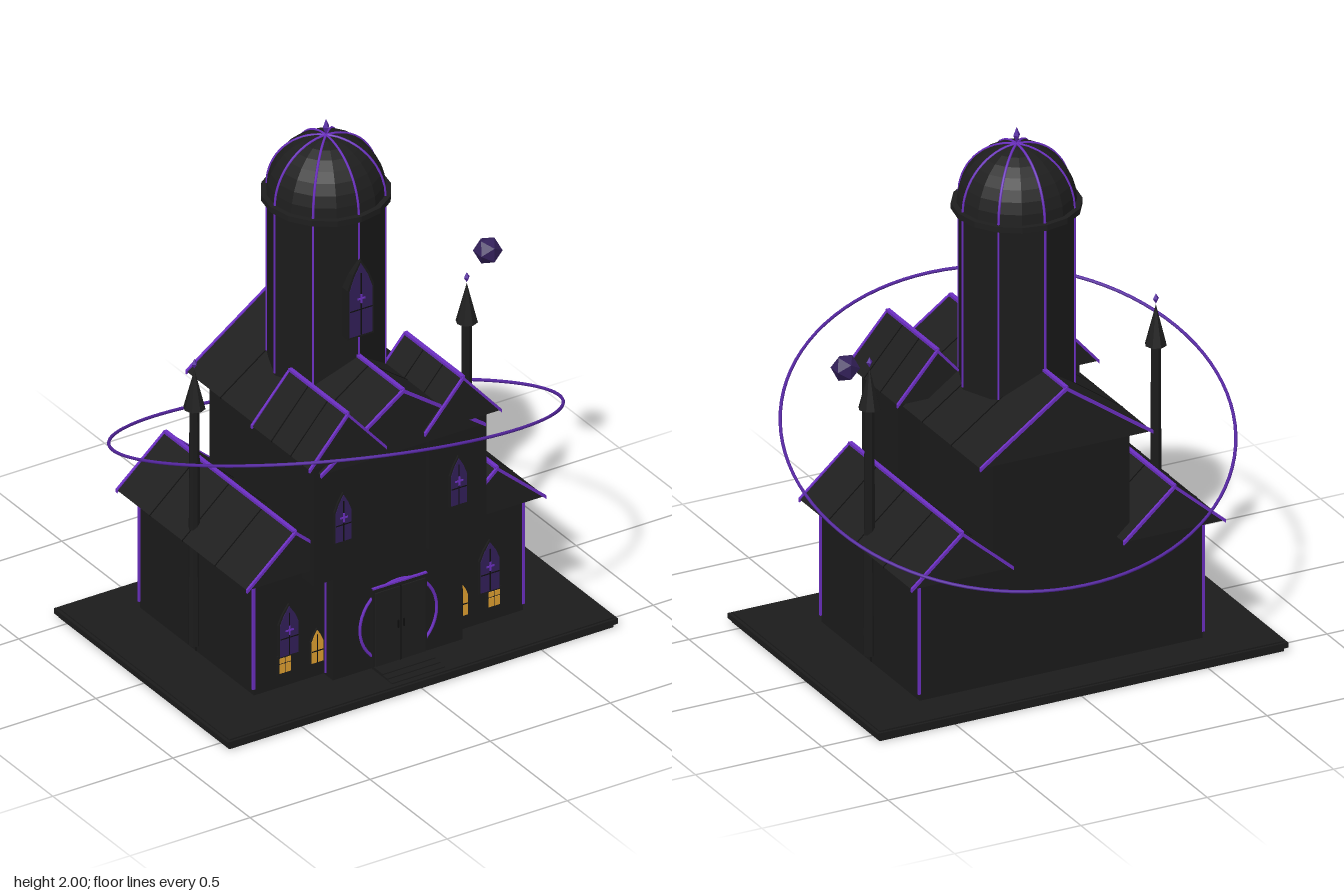
import * as THREE from 'three';

const mat = (name, color, extra = {}) => Object.assign(new THREE.MeshStandardMaterial({ color, ...extra }), { name });

export function createModel() {
  const M = {
    wall: mat('wall charcoal', 0x1b1b1b, { flatShading: true }),
    roof: mat('roof charcoal', 0x1e1e1e, { flatShading: true }),
    seam: mat('seam black', 0x0e0e0e),
    trim: mat('violet trim', 0x6c2fc2),
    ring: mat('ring violet', 0x5526a0),
    glass: mat('dark violet glass', 0x33205a, { flatShading: true }),
    amber: mat('amber glass', 0xe0a030),
  };
  const root = new THREE.Group();
  root.name = 'gothicManor';

  const add = (name, geo, m, x = 0, y = 0, z = 0, parent = root) => {
    const mesh = new THREE.Mesh(geo, m);
    mesh.name = name;
    mesh.position.set(x, y, z);
    parent.add(mesh);
    return mesh;
  };
  const box = (name, w, h, d, m, x, y, z, parent) => add(name, new THREE.BoxGeometry(w, h, d), m, x, y, z, parent);
  const extrude = (pts, depth) => new THREE.ExtrudeGeometry(
    new THREE.Shape(pts.map(p => new THREE.Vector2(p[0], p[1]))), { depth, bevelEnabled: false });

  // Box walls under a solid gabled roof with violet rakes and a ridge strip
  function house(name, { x, wallX = 0, wallHalf, y0, wz0, wz1, roofHalf, eave, ridge, rz0, rz1, seams = 3 }) {
    const g = new THREE.Group();
    g.name = name;
    g.position.x = x;
    root.add(g);
    box('walls', wallHalf * 2, eave - y0, wz1 - wz0, M.wall, wallX, (eave + y0) / 2, (wz0 + wz1) / 2, g);
    add('roof', extrude([[-roofHalf, eave], [roofHalf, eave], [0, ridge]], rz1 - rz0), M.roof, 0, 0, rz0, g);
    const fold = (half, lift, thick) => [[-half, eave + lift], [-half, eave + lift - thick], [0, ridge + lift - thick],
      [half, eave + lift - thick], [half, eave + lift], [0, ridge + lift]];
    for (const z of [rz0 - 0.005, rz1 - 0.005])
      add('rakeTrim', extrude(fold(roofHalf + 0.002, 0.004, 0.014), 0.01), M.trim, 0, 0, z, g);
    for (let i = 1; i <= seams; i++)
      add('roofSeam', extrude(fold(roofHalf, 0.002, 0.006), 0.004), M.seam, 0, 0, rz0 + (rz1 - rz0) * i / (seams + 1), g);
    box('ridgeTrim', 0.015, 0.01, rz1 - rz0, M.trim, 0, ridge + 0.001, (rz0 + rz1) / 2, g);
  }

  // Pointed window standing on y, facing +z
  const lancet = (w, h) => [[-w / 2, 0], [w / 2, 0], [w / 2, h * 0.64], [w * 0.3, h * 0.82], [0, h],
    [-w * 0.3, h * 0.82], [-w / 2, h * 0.64]];
  function pointedWindow(name, x, y, z, w, h, glass, back = 0.004) {
    const g = new THREE.Group();
    g.name = name;
    g.position.set(x, y, z);
    root.add(g);
    add('frame', extrude(lancet(w, h), back + 0.006), M.wall, 0, 0, -back, g);
    add('pane', extrude(lancet(w * 0.86, h * 0.93), 0.004), glass, 0, h * 0.025, 0.004, g);
    box('mullion', 0.004, h * 0.8, 0.003, M.seam, 0, h * 0.43, 0.008, g);
    box('crossbar', w * 0.84, 0.004, 0.003, M.seam, 0, h * 0.36, 0.008, g);
    if (glass === M.glass) {
      box('crossUpright', 0.006, 0.036, 0.003, M.trim, 0, h * 0.5, 0.01, g);
      box('crossArm', 0.032, 0.006, 0.003, M.trim, 0, h * 0.5, 0.01, g);
    }
  }

  // Stepped base
  box('baseSlab', 1.6, 0.04, 1.11, M.wall, 0, 0.02, 0);
  box('baseLip', 1.625, 0.02, 1.13, M.wall, 0, 0.025, 0);

  // Main hall
  house('mainHall', { x: 0, wallHalf: 0.27, y0: 0.04, wz0: -0.4, wz1: 0.4,
    roofHalf: 0.34, eave: 0.905, ridge: 1.145, rz0: -0.44, rz1: 0.435 });

  for (const s of [-1, 1]) {
    // Low side wings and raised front bays
    house('sideWing', { x: s * 0.42, wallX: s * -0.01, wallHalf: 0.15, y0: 0.04, wz0: -0.4, wz1: 0.34,
      roofHalf: 0.2, eave: 0.505, ridge: 0.68, rz0: -0.455, rz1: 0.39 });
    house('frontBay', { x: s * 0.24, wallHalf: 0.12, y0: 0.455, wz0: 0.145, wz1: 0.415,
      roofHalf: 0.158, eave: 0.95, ridge: 1.13, rz0: 0.075, rz1: 0.45, seams: 2 });
    for (const z of [0.34, -0.4]) box('cornerTrim', 0.01, 0.42, 0.008, M.trim, s * 0.562, 0.275, z);
    box('hallCornerTrim', 0.006, 0.4, 0.006, M.trim, s * 0.271, 0.25, 0.355);
    box('wallSeam', 0.003, 0.46, 0.004, M.seam, s * 0.56, 0.27, -0.035);

    pointedWindow('bayWindow', s * 0.24, 0.6, 0.416, 0.075, 0.2, M.glass);
    pointedWindow('wingWindow', s * 0.418, 0.16, 0.341, 0.09, 0.21, M.glass);
    pointedWindow('lanternWindow', s * 0.301, 0.095, 0.341, 0.056, 0.14, M.amber);
    box('lowFrame', 0.062, 0.08, 0.008, M.wall, s * 0.435, 0.13, 0.344);
    for (const dx of [-0.013, 0.013]) for (const dy of [0.118, 0.15])
      box('lowPane', 0.022, dy < 0.13 ? 0.036 : 0.02, 0.004, M.amber, s * 0.435 + dx, dy, 0.348);

    // Slender side spires
    const spire = new THREE.Group();
    spire.name = 'spire';
    spire.position.set(s * 0.567, 0, -0.035);
    root.add(spire);
    add('shaft', new THREE.CylinderGeometry(0.018, 0.023, 0.96, 8), M.wall, 0, 0.55, 0, spire);
    add('spireCone', new THREE.ConeGeometry(0.04, 0.155, 8), M.roof, 0, 1.1, 0, spire);
    add('spireGem', new THREE.OctahedronGeometry(0.02), M.ring, 0, 1.2, 0, spire).scale.set(0.6, 1, 0.6);
  }

  // Double door, round violet arch and low steps
  box('doorFrame', 0.226, 0.32, 0.02, M.wall, 0, 0.205, 0.405);
  for (const s of [-1, 1]) {
    box('doorLeaf', 0.102, 0.295, 0.012, M.roof, s * 0.053, 0.2, 0.414);
    box('doorHandle', 0.005, 0.03, 0.006, M.seam, s * 0.012, 0.2, 0.423);
  }
  box('doorGap', 0.004, 0.3, 0.006, M.seam, 0, 0.2, 0.418);
  box('doorLintel', 0.226, 0.006, 0.01, M.trim, 0, 0.365, 0.412);
  add('doorRing', new THREE.TorusGeometry(0.16, 0.006, 6, 40), M.trim, 0, 0.208, 0.404);
  for (let i = 0; i < 3; i++)
    box('step', 0.22, 0.004 * (i + 1), 0.135 - i * 0.03, M.wall, 0, 0.04 + 0.002 * (i + 1), 0.4 + (0.135 - i * 0.03) / 2);

  // Octagonal tower with a ribbed dome
  const tower = new THREE.Group();
  tower.name = 'tower';
  tower.position.z = -0.065;
  root.add(tower);
  const R = 0.213, domeH = 0.225, domeY = 1.71;
  add('towerShaft', new THREE.CylinderGeometry(R, R, 0.68, 8), M.wall, 0, 1.37, 0, tower);
  add('domeCollar', new THREE.CylinderGeometry(0.232, 0.232, 0.022, 16), M.roof, 0, 1.705, 0, tower);
  add('dome', new THREE.SphereGeometry(R, 16, 8, 0, Math.PI * 2, 0, Math.PI / 2), M.roof, 0, domeY, 0, tower).scale.y = domeH / R;
  for (let i = 0; i < 8; i++) {
    const a = i * Math.PI / 4, c = Math.cos(a), n = Math.sin(a);
    box('towerEdge', 0.007, 0.66, 0.007, M.trim, c * R, 1.37, n * R, tower).rotation.y = -a;
    const pts = [];
    for (let k = 0; k <= 8; k++) {
      const p = k * Math.PI / 16;
      pts.push(new THREE.Vector3(c * R * Math.cos(p), domeY + domeH * Math.sin(p), n * R * Math.cos(p)));
    }
    add('domeRib', new THREE.TubeGeometry(new THREE.CatmullRomCurve3(pts), 16, 0.005, 5), M.trim, 0, 0, 0, tower);
  }
  add('finial', new THREE.OctahedronGeometry(0.032), M.ring, 0, 1.968, 0, tower).scale.set(0.42, 1, 0.42);
  pointedWindow('towerWindow', 0, 1.23, 0.155, 0.11, 0.31, M.glass, 0.05);

  // Tilted floating ring and crystal
  const ring = add('floatingRing', new THREE.TorusGeometry(0.8, 0.006, 8, 96), M.ring, 0, 0.805, 0);
  ring.quaternion.setFromUnitVectors(new THREE.Vector3(0, 0, 1), new THREE.Vector3(0.115, 1, -0.36).normalize());
  add('crystal', new THREE.IcosahedronGeometry(0.052), M.glass, 0.698, 1.235, -0.103);

  return root;
}
